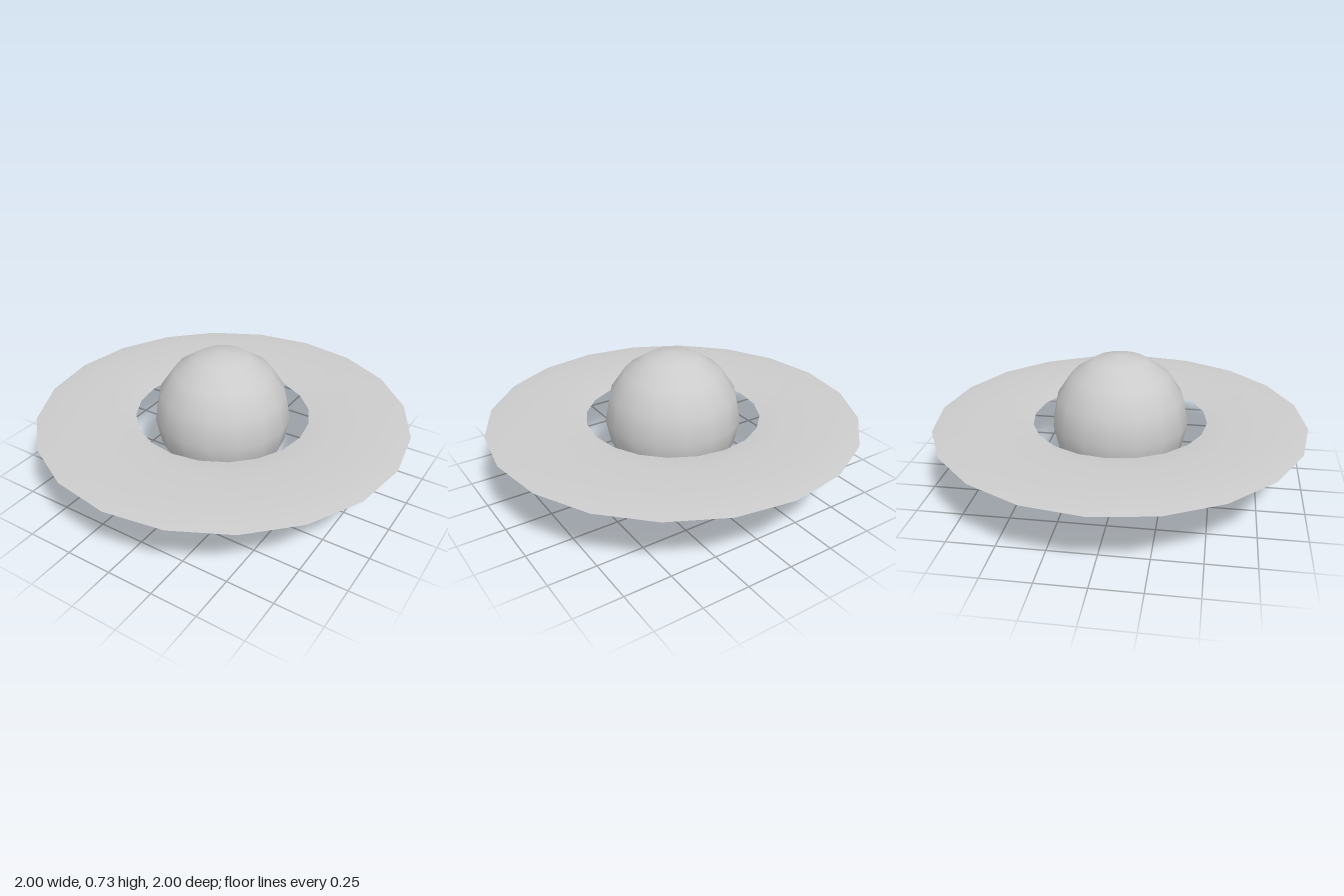
import * as THREE from 'three';

const R = 0.367; // globe radius, also the height of its equator

export function createModel() {
  const model = new THREE.Group();
  const material = new THREE.MeshStandardMaterial({ color: 0xcccccc });

  const add = (name, geometry, parent) => {
    const mesh = new THREE.Mesh(geometry, material);
    mesh.name = name;
    parent.add(mesh);
    return mesh;
  };

  // Low-poly globe with smooth normals
  add('globe', new THREE.SphereGeometry(R, 16, 8), model).position.y = R;

  // Thin flat ring: upper and lower skins meeting at sharp rims
  const ring = new THREE.Group();
  ring.name = 'ring';
  ring.position.y = R;
  model.add(ring);

  const skin = (profile) =>
    new THREE.LatheGeometry(profile.map(([r, y]) => new THREE.Vector2(r, y)), 20);

  add('ringTop', skin([[1, 0.002], [0.87, 0.02], [0.6, 0.02], [0.47, 0.002]]), ring);
  add('ringUnderside', skin([[0.47, 0.002], [0.5, -0.003], [0.96, -0.003], [1, 0.002]]), ring);

  return model;
}
